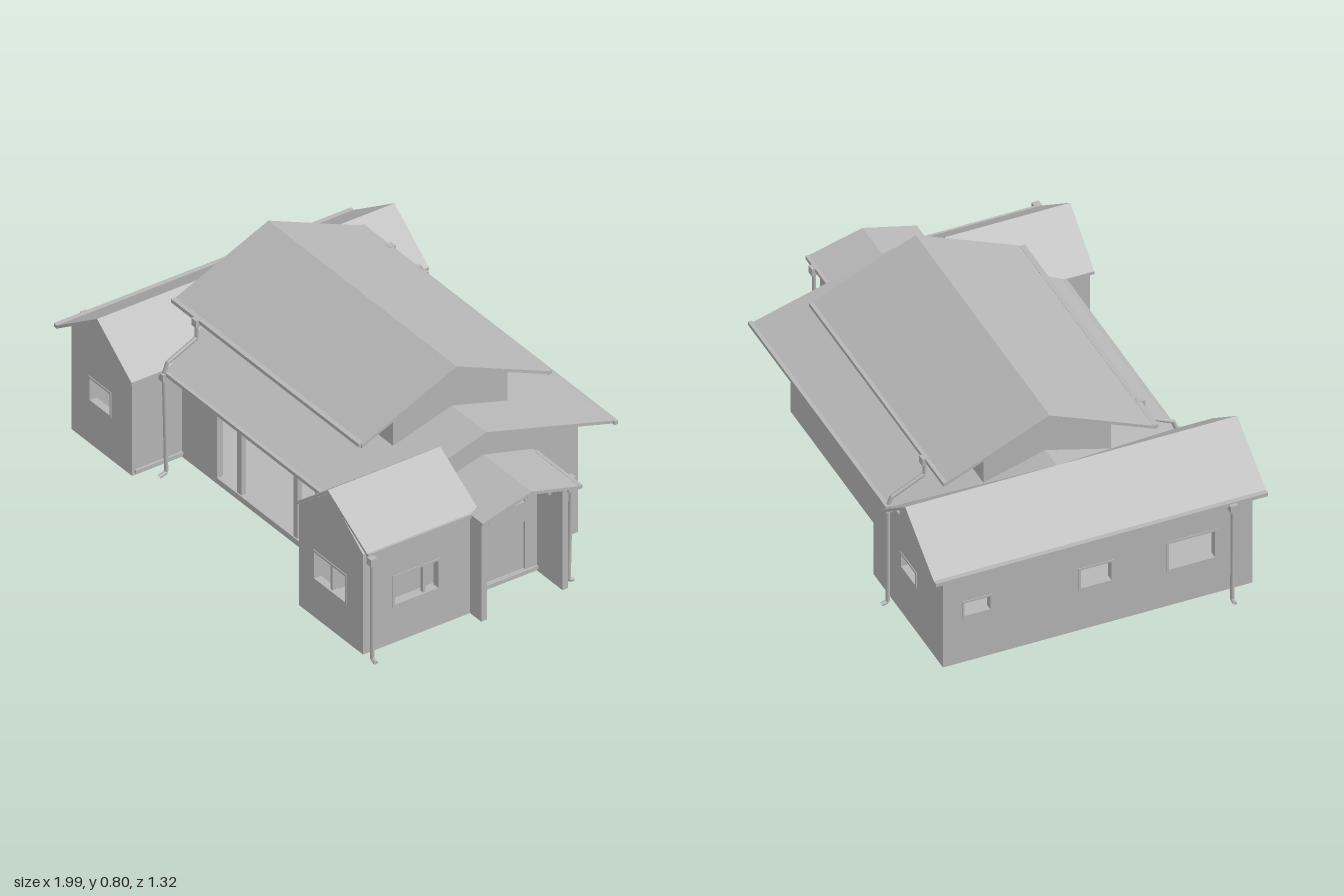
import * as THREE from 'three';

const wallColour = new THREE.MeshStandardMaterial({ color: 0xb6b6b6, side: THREE.DoubleSide });
wallColour.name = 'light grey';

const T = 0.025; // wall thickness
const BASE = 0.02;

function polygon(points) {
  return new THREE.Shape(points.map(([u, v]) => new THREE.Vector2(u, v)));
}

function rect([u0, u1, v0, v1]) {
  return polygon([[u0, v0], [u1, v0], [u1, v1], [u0, v1]]);
}

export function createModel() {
  const model = new THREE.Group();
  model.name = 'house';

  function add(name, geometry, parent = model) {
    const mesh = new THREE.Mesh(geometry, wallColour);
    mesh.name = name;
    parent.add(mesh);
    return mesh;
  }

  function box(name, x0, x1, y0, y1, z0, z1) {
    const g = new THREE.BoxGeometry(x1 - x0, y1 - y0, z1 - z0);
    g.translate((x0 + x1) / 2, (y0 + y1) / 2, (z0 + z1) / 2);
    return add(name, g);
  }

  // Upright plate: axis 'z' spans x, axis 'x' spans z; it occupies [at, at + depth].
  function plate(name, axis, at, depth, shape) {
    const g = new THREE.ExtrudeGeometry(shape, { depth, bevelEnabled: false });
    if (axis === 'x') g.rotateY(-Math.PI / 2).translate(at + depth, 0, 0);
    else g.translate(0, 0, at);
    return add(name, g);
  }

  // Wall with openings; each opening is [u0, u1, y0, y1], trimmed with a thin frame.
  function wall(name, axis, at, outline, openings = [], framed = true) {
    const shape = polygon(outline);
    for (const o of openings) {
      shape.holes.push(new THREE.Path(rect(o).getPoints()));
      if (!framed) continue;
      const f = 0.009;
      const frame = rect(o);
      frame.holes.push(new THREE.Path(rect([o[0] + f, o[1] - f, o[2] + f, o[3] - f]).getPoints()));
      plate('windowFrame', axis, at - 0.003, T + 0.006, frame);
    }
    plate(name, axis, at, T, shape);
  }

  const flat = (u0, u1, top) => [[u0, BASE], [u1, BASE], [u1, top], [u0, top]];
  const gable = (u0, u1, top0, ridge, peak, top1) =>
    [[u0, BASE], [u1, BASE], [u1, top1], [ridge, peak], [u0, top0]];

  // Roof slab over plan corners [x, z], with a height rule for the top face.
  function slab(name, corners, height, t = 0.013) {
    const area = corners.reduce((s, [x, z], i) => {
      const [x2, z2] = corners[(i + 1) % corners.length];
      return s + x * z2 - x2 * z;
    }, 0);
    const plan = area > 0 ? [...corners].reverse() : corners;
    const n = plan.length;
    const top = plan.map(([x, z]) => [x, height(x, z), z]);
    const low = top.map(([x, y, z]) => [x, y - t, z]);
    const pos = [];
    const tri = (...p) => p.forEach((q) => pos.push(...q));
    const faces = THREE.ShapeUtils.triangulateShape(plan.map(([x, z]) => new THREE.Vector2(x, -z)), []);
    for (const [a, b, c] of faces) {
      tri(top[a], top[b], top[c]);
      tri(low[c], low[b], low[a]);
    }
    for (let i = 0; i < n; i++) {
      const j = (i + 1) % n;
      tri(top[i], low[i], low[j]);
      tri(top[i], low[j], top[j]);
    }
    const g = new THREE.BufferGeometry();
    g.setAttribute('position', new THREE.Float32BufferAttribute(pos, 3));
    g.computeVertexNormals();
    add(name, g);
  }

  // Floor
  const floor = polygon([[-0.9, -0.61], [-0.52, -0.61], [-0.52, -0.39], [0.52, -0.39], [0.52, -0.61],
    [0.9, -0.61], [0.9, -0.14], [0.83, -0.14], [0.83, 0.22], [0.69, 0.22], [0.69, 0.47],
    [-0.31, 0.47], [-0.31, 0.595], [-0.9, 0.595]]);
  add('floor', new THREE.ExtrudeGeometry(floor, { depth: 0.012, bevelEnabled: false })
    .rotateX(-Math.PI / 2).translate(0, 0.032, 0));

  // Left wing
  const wingGable = gable(-0.91, -0.53, 0.475, -0.7, 0.608, 0.483);
  wall('wingFrontWall', 'z', 0.62 - T, wingGable, [[-0.8, -0.66, 0.2, 0.31]]);
  wall('wingBackWall', 'z', -0.605, wingGable, [[-0.68, -0.54, 0.22, 0.29]]);
  wall('wingSideWall', 'x', -0.91, flat(-0.605, 0.62, 0.475),
    [[-0.53, -0.41, 0.22, 0.295], [-0.07, 0.07, 0.2, 0.3], [0.28, 0.48, 0.175, 0.31]]);
  wall('wingInnerWall', 'x', -0.53 - T, flat(0.4, 0.62, 0.475));
  wall('backStepWall', 'z', -0.605, flat(-0.53, -0.3, 0.447));
  wall('backStepSide', 'x', -0.3 - T, [[-0.605, BASE], [-0.48, BASE], [-0.48, 0.48], [-0.605, 0.447]]);

  // Main hall
  wall('hallFrontWall', 'z', 0.4 - T, flat(-0.53, 0.51, 0.473),
    [[-0.31, 0.3, 0.045, 0.315], [-0.31, 0.3, 0.34, 0.43]], false);
  wall('hallBackWall', 'z', -0.48, flat(-0.3, 0.7, 0.483),
    [[-0.22, -0.08, 0.215, 0.29], [0.21, 0.35, 0.215, 0.29]]);
  wall('hallEndWall', 'x', 0.7 - T, gable(-0.48, 0.4, 0.48, -0.06, 0.605, 0.47),
    [[-0.16, 0.06, 0.045, 0.25]], false);
  for (const x of [-0.18, 0.17]) box('doorPost', x - 0.013, x + 0.013, 0.045, 0.315, 0.375, 0.395);
  box('partition', 0.42, 0.44, BASE, 0.44, -0.46, -0.2);
  box('partition', -0.5, -0.48, BASE, 0.44, -0.58, -0.15);

  // Front right room
  wall('roomFrontWall', 'z', 0.62 - T, gable(0.51, 0.91, 0.457, 0.7, 0.605, 0.452),
    [[0.6, 0.81, 0.18, 0.31]]);
  wall('roomSideWall', 'x', 0.91 - T, flat(0.13, 0.62, 0.452), [[0.28, 0.49, 0.175, 0.31]]);
  wall('roomInnerWall', 'x', 0.51, flat(0.39, 0.62, 0.457));
  wall('roomBackWall', 'z', 0.13, [[0.7, BASE], [0.91, BASE], [0.91, 0.452], [0.7, 0.605]]);
  box('roomWindowBar', 0.7, 0.712, 0.18, 0.31, 0.6, 0.615);
  box('roomWindowBar', 0.89, 0.905, 0.175, 0.31, 0.34, 0.352);

  // Entrance porch
  wall('porchSideWall', 'z', 0.122, flat(0.7, 0.98, 0.447));
  wall('porchSideWall', 'z', -0.237, flat(0.7, 0.98, 0.452));
  wall('porchDoorWall', 'x', 0.82 - T, gable(-0.22, 0.13, 0.452, -0.06, 0.495, 0.445),
    [[-0.16, 0.06, 0.045, 0.25], [-0.16, 0.06, 0.335, 0.385]], false);
  box('door', 0.8, 0.81, 0.045, 0.25, -0.16, 0.06);
  for (const z of [-0.24, -0.15, -0.06, 0.03, 0.115]) {
    const y = 0.5 - 0.255 * Math.abs(z + 0.06);
    box('porchPurlin', 0.71, 0.99, y - 0.018, y - 0.002, z - 0.007, z + 0.007);
  }

  // Clerestory
  const up = (u0, u1, y0, y1) => [[u0, y0], [u1, y0], [u1, y1], [u0, y1]];
  wall('clerestoryFrontWall', 'z', 0.2 - T, up(-0.6, 0.505, 0.53, 0.682));
  wall('clerestoryBackWall', 'z', -0.305, up(-0.6, 0.505, 0.53, 0.688));
  for (const x of [-0.6, 0.505 - T]) {
    wall('clerestoryGable', 'x', x,
      [[-0.305, 0.53], [0.2, 0.53], [0.2, 0.682], [-0.06, 0.793], [-0.305, 0.688]]);
  }

  // Roofs
  const hallY = (x, z) => 0.62 - 0.289 * Math.abs(z + 0.06);
  const wingY = (x) => 0.62 - (x < -0.7 ? 0.65 : 0.75) * Math.abs(x + 0.7);
  const roomY = (x) => 0.62 - (x < 0.7 ? 0.786 : 0.735) * Math.abs(x - 0.7);
  const topY = (x, z) => 0.805 - 0.43 * Math.abs(z + 0.06);
  const porchY = (x, z) => 0.513 - 0.265 * Math.abs(z + 0.06);
  slab('hallRoofFront', [[-0.49, 0.51], [0.49, 0.51], [0.63, 0.14], [0.72, 0.14], [0.72, -0.06], [-0.7, -0.06]], hallY);
  slab('hallRoofBack', [[-0.7, -0.06], [0.72, -0.06], [0.72, -0.63], [-0.49, -0.63]], hallY);
  slab('wingRoofLeft', [[-0.955, -0.66], [-0.7, -0.66], [-0.7, 0.655], [-0.955, 0.655]], wingY);
  slab('wingRoofRight', [[-0.7, -0.66], [-0.485, -0.66], [-0.485, 0.655], [-0.7, 0.655]], wingY);
  slab('roomRoofLeft', [[0.49, 0.627], [0.7, 0.627], [0.7, 0.13], [0.63, 0.14], [0.49, 0.51]], roomY);
  slab('roomRoofRight', [[0.7, 0.627], [0.925, 0.61], [0.925, 0.115], [0.7, 0.13]], roomY);
  slab('clerestoryRoofFront', [[-0.64, -0.06], [0.535, -0.06], [0.535, 0.36], [-0.64, 0.36]], topY);
  slab('clerestoryRoofBack', [[-0.64, -0.06], [0.535, -0.06], [0.535, -0.475], [-0.64, -0.475]], topY);
  slab('porchRoofFront', [[0.7, -0.06], [1, -0.06], [1, 0.155], [0.7, 0.155]], porchY);
  slab('porchRoofBack', [[0.7, -0.06], [1, -0.06], [1, -0.28], [0.7, -0.28]], porchY);

  // Gutters
  box('gutter', -0.49, 0.49, 0.443, 0.458, 0.5, 0.516);
  box('gutter', -0.49, 0.73, 0.443, 0.458, -0.636, -0.62);
  box('gutter', -0.64, 0.53, 0.615, 0.63, 0.35, 0.37);
  box('gutter', -0.64, 0.535, 0.615, 0.63, -0.482, -0.465);
  box('gutter', -0.97, -0.95, 0.443, 0.458, -0.66, 0.655);
  box('gutter', 0.915, 0.93, 0.443, 0.458, 0.115, 0.61);
  box('gutter', 0.72, 1, 0.443, 0.458, -0.286, -0.272);

  // Downpipes follow a few points, with a hopper at the head
  function pipe(points) {
    const path = new THREE.CurvePath();
    const p = points.map((q) => new THREE.Vector3(...q));
    for (let i = 1; i < p.length; i++) path.add(new THREE.LineCurve3(p[i - 1], p[i]));
    add('downpipe', new THREE.TubeGeometry(path, 48, 0.008, 8));
    const [x, y, z] = points[0];
    box('hopper', x - 0.014, x + 0.014, y - 0.018, y + 0.012, z - 0.014, z + 0.014);
  }
  pipe([[-0.97, 0.44, 0.515], [-0.965, 0.015, 0.515], [-0.99, 0.013, 0.515]]);
  pipe([[0.945, 0.44, 0.605], [0.945, 0.015, 0.605], [0.97, 0.01, 0.605]]);
  pipe([[0.93, 0.445, -0.285], [0.93, 0.015, -0.275], [0.93, 0.01, -0.295]]);
  pipe([[-0.48, 0.44, 0.515], [-0.48, 0.02, 0.505], [-0.48, 0.012, 0.535]]);
  pipe([[-0.47, 0.45, -0.625], [-0.47, 0.02, -0.625], [-0.47, 0.015, -0.65]]);
  pipe([[-0.48, 0.62, 0.37], [-0.48, 0.55, 0.37], [-0.48, 0.49, 0.5], [-0.48, 0.45, 0.515]]);
  pipe([[-0.47, 0.62, -0.48], [-0.47, 0.555, -0.48], [-0.47, 0.49, -0.61], [-0.47, 0.45, -0.625]]);

  return model;
}
